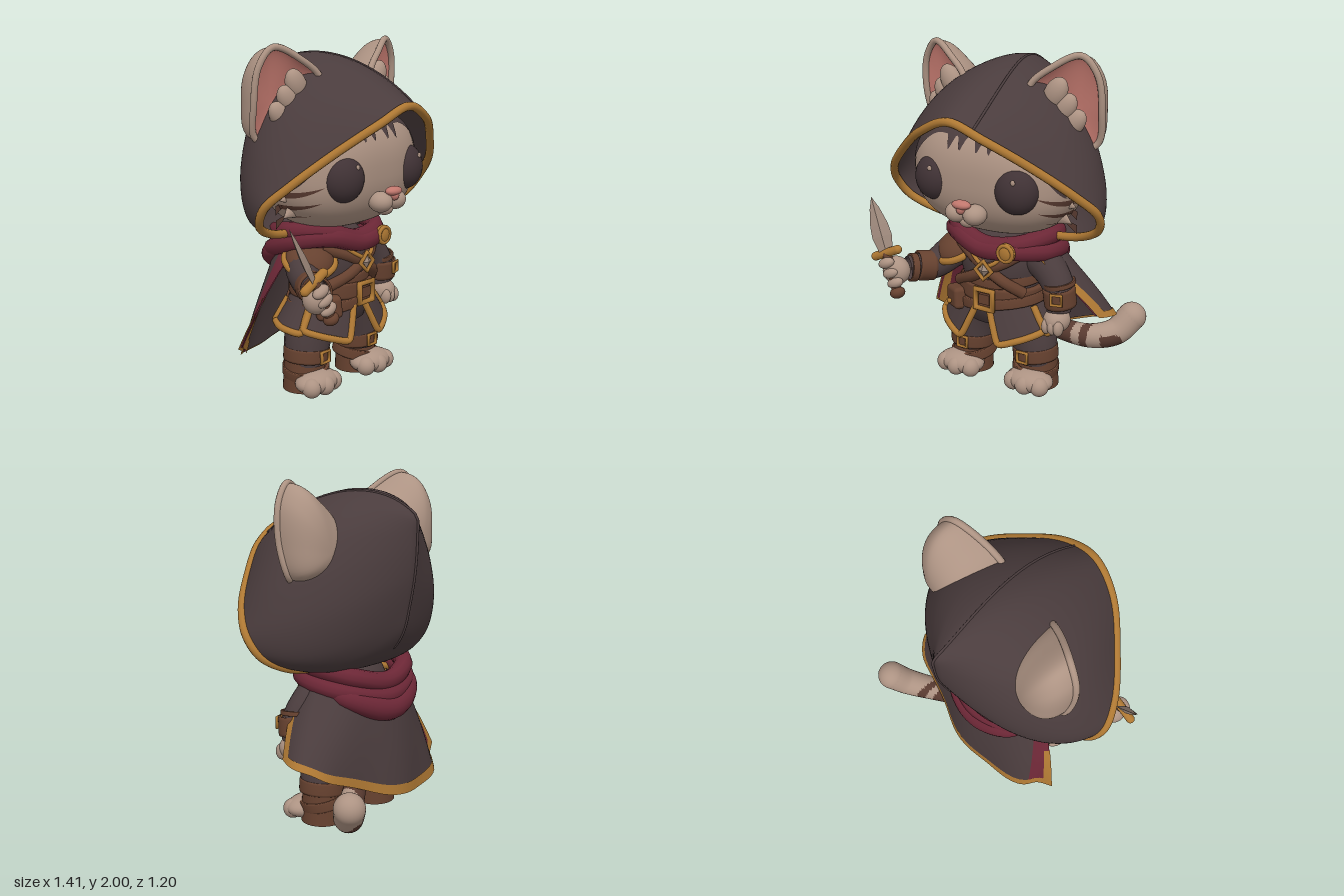
import * as THREE from 'three';
import { mergeVertices } from 'three/addons/utils/BufferGeometryUtils.js';
import { RoundedBoxGeometry } from 'three/addons/geometries/RoundedBoxGeometry.js';

const mat = (name, color) => Object.assign(new THREE.MeshStandardMaterial({ color, side: THREE.DoubleSide }), { name });
const cloth = mat('dark cloth', 0x4a3c3d), crimson = mat('crimson lining', 0x6c2736), gold = mat('gold trim', 0xae7833);
const leather = mat('brown leather', 0x66412f), fur = mat('cream fur', 0xad9383), pink = mat('pink skin', 0xc0776d);
const mark = mat('brown markings', 0x583a30), eyeMat = mat('eye', 0x403235), steel = mat('steel', 0x9c877a);

const V = p => new THREE.Vector3(...p);
const curve = (pts, closed = false) => new THREE.CatmullRomCurve3(pts.map(V), closed);

// surface from a rule f(u, v), with shared vertices so closed seams stay smooth
function grid(f, nu, nv) {
  const pos = [], idx = [];
  for (let j = 0; j <= nv; j++) for (let i = 0; i <= nu; i++) pos.push(...f(i / nu, j / nv).toArray());
  for (let j = 0; j < nv; j++) for (let i = 0; i < nu; i++) {
    const a = j * (nu + 1) + i, b = a + nu + 1;
    idx.push(a, a + 1, b, a + 1, b + 1, b);
  }
  let g = new THREE.BufferGeometry();
  g.setAttribute('position', new THREE.Float32BufferAttribute(pos, 3));
  g.setIndex(idx);
  g = mergeVertices(g, 1e-5);
  g.computeVertexNormals();
  return g;
}

// tube whose radius follows a list; ends are closed when the list ends in 0
function taper(pts, radii, seg = 40, sides = 18) {
  const c = curve(pts), g = new THREE.TubeGeometry(c, seg, 1, sides), p = g.attributes.position, v = new THREE.Vector3();
  for (let k = 0; k < p.count; k++) {
    const t = Math.floor(k / (sides + 1)) / seg, o = c.getPointAt(t);
    const s = t * (radii.length - 1), i = Math.min(Math.floor(s), radii.length - 2);
    const r = radii[i] + (radii[i + 1] - radii[i]) * (s - i);
    v.fromBufferAttribute(p, k).sub(o).multiplyScalar(r).add(o);
    p.setXYZ(k, v.x, v.y, v.z);
  }
  return g;
}

// regroup triangles by a rule on their centre
function paint(g, rule, n) {
  const p = g.attributes.position, ix = g.index.array, sets = Array.from({ length: n }, () => []), c = new THREE.Vector3(), t = new THREE.Vector3();
  for (let i = 0; i < ix.length; i += 3) {
    c.set(0, 0, 0);
    for (let k = 0; k < 3; k++) c.add(t.fromBufferAttribute(p, ix[i + k]));
    sets[rule(c.divideScalar(3))].push(ix[i], ix[i + 1], ix[i + 2]);
  }
  g.clearGroups();
  let start = 0;
  sets.forEach((s, m) => { g.addGroup(start, s.length, m); start += s.length; });
  g.setIndex(sets.flat());
  return g;
}

export function createModel() {
  const root = new THREE.Group();
  const add = (name, geo, m, p = [0, 0, 0], r = [0, 0, 0], s = [1, 1, 1], parent = root) => {
    const o = new THREE.Mesh(geo, m);
    o.name = name; o.position.set(...p); o.rotation.set(...r); o.scale.set(...s);
    parent.add(o);
  };
  const ball = (name, m, p, s, r, parent) => add(name, new THREE.SphereGeometry(1, 28, 18), m, p, r, s, parent);
  const tube = (name, m, pts, r, closed = false) => add(name, new THREE.TubeGeometry(curve(pts, closed), closed ? 120 : 48, r, 10, closed), m);
  const band = (name, m, p, r, h, rot, flat = 1) => add(name, new THREE.LatheGeometry(
    [[.85, -h], [.98, -h], [1, -h * .7], [1, h * .7], [.98, h], [.85, h]].map(q => new THREE.Vector2(...q)), 40), m, p, rot, [r, 1, r * flat]);
  const buckle = (name, m, p, w, ry = 0, turn = Math.PI / 4) =>
    add(name, new THREE.TorusGeometry(w, w * .24, 8, 4).rotateZ(turn).rotateY(ry), m, p);

  // hood: rim, bulge and back ridge half-lines, mirrored into loops and joined by quadratic arcs
  const loop = half => curve([...half, ...half.slice(1, -1).reverse().map(([x, y, z]) => [-x, y, z])].map(([x, y, z]) => [x + .01, y, z]), true);
  const rim = loop([[0, 1.67, .575], [.2, 1.59, .54], [.42, 1.44, .41], [.6, 1.28, .27], [.675, 1.16, .155], [.64, 1.05, .08], [.5, .97, .02], [.3, .94, 0], [0, .94, -.02]]);
  const bulge = loop([[0, 2.1, -.06], [.36, 2.0, -.05], [.6, 1.81, -.11], [.67, 1.55, -.21], [.64, 1.25, -.28], [.56, 1.02, -.27], [.42, .92, -.24], [.25, .88, -.22], [0, .88, -.22]]);
  const ridge = loop([1.81, 1.78, 1.7, 1.58, 1.45, 1.3, 1.18, 1.1, 1.05].map((y, i) => [0, y, [-.465, -.48, -.48, -.475, -.46, -.43, -.4, -.36, -.32][i]]));
  const hood = (u, v) => rim.getPoint(u % 1).multiplyScalar((1 - v) ** 2)
    .addScaledVector(bulge.getPoint(u % 1), 2 * v * (1 - v)).addScaledVector(ridge.getPoint(u % 1), v * v);
  add('hood', grid(hood, 96, 36), cloth);
  add('hoodTrim', new THREE.TubeGeometry(rim, 140, .024, 10, true), gold);
  const seam = [];
  for (let i = 0; i <= 10; i++) seam.push(hood(.042 * (1 - i / 10), i / 10).toArray());
  for (let i = 1; i <= 8; i++) seam.push(ridge.getPoint(i / 16).toArray());
  tube('hoodSeam', cloth, seam, .007);

  // head: a rounded block
  const E = .82, N = 2 / E, sp = a => Math.sign(a) * Math.abs(a) ** E;
  add('head', grid((u, v) => {
    const a = u * Math.PI * 2, b = (v - .5) * Math.PI, c = sp(Math.cos(b)), z = c * sp(Math.cos(a));
    return new THREE.Vector3(.01 + .51 * c * sp(Math.sin(a)), 1.3 + .345 * sp(Math.sin(b)), .06 + z * (z > 0 ? .36 : .25));
  }, 80, 50), fur);

  // thin markings that follow the face between two lines
  const facePatch = (name, m, x0, x1, low, high) => add(name, grid((u, v) => {
    const x = x0 + (x1 - x0) * u, y = low(x) + (high(x) - low(x)) * v;
    const d = 1 - Math.abs((x - .01) / .51) ** N - Math.abs((y - 1.3) / .345) ** N;
    return new THREE.Vector3(x, y, .066 + .36 * Math.max(0, d) ** (1 / N));
  }, 100, 10), m);
  facePatch('foreheadMarking', cloth, -.5, .52, x => {
    const ax = Math.abs(x - .01);
    let y = 1.54 - 3.6 * Math.max(0, ax - .2) ** 2;
    for (const s of [.055, .13]) y -= .08 * Math.max(0, 1 - Math.abs(ax - s) / .03);
    return y;
  }, x => 1.64 - .9 * (x - .01) ** 2);
  for (const s of [-1, 1]) {
    for (const [y, w] of [[1.22, .02], [1.13, .026], [1.05, .026]]) {
      const mid = x => y - (Math.abs(x - .01) - .45) * .5, half = x => w * Math.max(0, (Math.abs(x - .01) - .39) / .11);
      facePatch('cheekStripe', mark, .01 + s * .39, .01 + s * .5, x => mid(x) - half(x), x => mid(x) + half(x));
    }
    const x = .02 + s * .27;
    ball('eye', eyeMat, [x, 1.28, .34], [.124, .13, .1], [0, s * .25, 0]);
    ball('eyeHighlight', fur, [x + .025, 1.35, .424], [.014, .016, .008]);
    ball('muzzle', fur, [.02 + s * .058, 1.135, .43], [.066, .058, .07]);
    for (const [y, t] of [[1.18, 1.8], [1.09, 2]])
      add('cheekTuft', new THREE.ConeGeometry(.055, .09, 12), fur, [.01 + s * (.49 - (1.22 - y) * .25), y, .12], [0, 0, -s * t], [1, 1, .6]);
  }
  ball('chin', fur, [.02, 1.09, .41], [.05, .04, .05]);
  ball('nose', pink, [.02, 1.195, .475], [.058, .026, .038]);
  ball('noseTip', pink, [.02, 1.172, .478], [.026, .03, .03]);

  // ears: a rounded back shell, a shallow pink cup, a rim and fur tufts
  for (const s of [-1, 1]) {
    const ear = new THREE.Group();
    ear.name = s > 0 ? 'leftEar' : 'rightEar';
    ear.position.x = .02; ear.scale.x = s;
    root.add(ear);
    const part = (name, geo, m) => add(name, geo, m, undefined, undefined, undefined, ear);
    const edge = curve([[.24, 1.62, .13], [.21, 1.8, .125], [.33, 1.915, .085], [.475, 1.98, .025], [.56, 1.88, 0], [.58, 1.68, -.02], [.54, 1.49, -.05], [.38, 1.45, .04]], true);
    const cup = (mid, full) => grid((u, v) => {
      const e = edge.getPoint(u % 1), a = v * Math.PI / 2, k = Math.cos(a) ** full;
      return V(mid).lerp(e, k).setZ(e.z + (mid[2] - e.z) * Math.sin(a) ** full);
    }, 64, 18);
    part('earShell', cup([.39, 1.62, -.22], .85), fur);
    part('earInside', cup([.45, 1.69, -.03], 1), pink);
    part('earRim', new THREE.TubeGeometry(edge, 80, .019, 10, true), fur);
    for (let i = 0; i < 3; i++)
      ball('earTuft', fur, [.34 + i * .045, 1.77 - i * .08, .065 - i * .014], [.065, .1, .05], [0, 0, -.5 - i * .15], ear);
  }

  // torso, chest straps and belts
  const body = [[.001, .97], [.15, .95], [.22, .88], [.26, .8], [.25, .7], [.23, .6], [.25, .52], [.22, .4], [.001, .36]];
  add('torso', new THREE.LatheGeometry(body.map(p => new THREE.Vector2(...p)).reverse(), 40), cloth, [0, 0, .03], undefined, [1, 1, .82]);
  for (const s of [-1, 1]) {
    tube('chestStrap', leather, [[s * .22, .86, .15], [.03 + s * .1, .8, .22], [.03, .75, .24], [.03 - s * .1, .69, .23], [-s * .22, .61, .15]], .034);
    tube('collarTrim', gold, [[s * .13, .88, .2], [.03 + s * .07, .81, .255], [.03, .77, .272]], .012);
  }
  buckle('chestClasp', gold, [.03, .755, .28], .055, 0, 0);
  add('claspStone', new THREE.OctahedronGeometry(.038), steel, [.03, .755, .28], undefined, [1, 1, .5]);
  band('mainBelt', leather, [0, .59, .03], .265, .046, [0, 0, -.04], .86);
  band('slantedBelt', leather, [0, .53, .03], .285, .03, [0, 0, .14], .84);
  band('waistSash', leather, [0, .65, .03], .255, .03, [0, 0, .12], .84);
  buckle('beltBuckle', gold, [.03, .575, .275], .08);
  add('buckleCentre', new THREE.BoxGeometry(.07, .06, .02), leather, [.03, .575, .268]);
  add('beltPouch', new RoundedBoxGeometry(.15, .13, .08, 3, .025), leather, [-.21, .52, .2], [0, -.6, .1]);
  ball('pouchStud', gold, [-.235, .5, .245], [.015, .015, .012]);

  // split skirt panels with gold edges: inner angle at waist and hem, outer angle, drop of the inner corner
  for (const s of [-1, 1]) for (const [inTop, inHem, out, low] of [[.12, .36, 1.2, .08], [1.22, 1.25, 2.18, .02], [2.2, 2.23, 3.13, 0]]) {
    const f = (u, v) => {
      const inner = inTop + (inHem - inTop) * v, a = s * (inner + (out - inner) * u);
      return new THREE.Vector3(Math.sin(a) * (.255 + .115 * v), .56 - v * (.16 + low * (1 - u)), .03 + Math.cos(a) * (.205 + .07 * v));
    };
    add('skirtPanel', grid(f, 12, 8), cloth);
    const e = [];
    for (const t of [.2, .55, .97]) e.push(f(0, t));
    for (const t of [.04, .35, .65, .96]) e.push(f(t, 1));
    if (out < 2) for (const t of [.97, .6, .2]) e.push(f(1, t));
    tube('skirtTrim', gold, e.map(p => p.toArray()), .02);
  }

  // legs, wrapped boots and paws
  for (const s of [-1, 1]) {
    const x = .01 + s * .22;
    add('leg', taper([[s * .12, .5, .03], [s * .18, .38, .03], [x, .24, .03], [x, .16, .03]], [.1, .14, .135, .12], 20), cloth);
    add('boot', new THREE.CylinderGeometry(.115, .125, .25, 28), leather, [x + s * .01, .129, .02]);
    band('bootStrap', leather, [x, .215, .03], .135, .04, [0, 0, s * .08]);
    band('ankleWrap', leather, [x, .12, .025], .138, .03, [.15, 0, -s * .15]);
    buckle('bootBuckle', gold, [x - s * .01, .215, .168], .045);
    ball('foot', fur, [x + s * .02, .07, .13], [.148, .068, .105]);
    for (let i = -1; i < 2; i++)
      ball('toe', fur, [x + s * .02 + i * .088, .06, .19 - Math.abs(i) * .022], [.056, .058, .058]);
  }

  // arms, bracers and paws
  add('rightArm', taper([[-.2, .83, .04], [-.31, .75, .1], [-.37, .69, .2], [-.46, .69, .34]], [.1, .1, .085, .07], 24), cloth);
  add('leftArm', taper([[.2, .83, .03], [.33, .74, .04], [.4, .64, .06], [.41, .52, .08]], [.1, .1, .09, .07], 24), cloth);
  band('rightBracer', leather, [-.4, .69, .25], .09, .05, [1.4, 0, .6]);
  band('rightCuff', leather, [-.44, .69, .32], .084, .02, [1.4, 0, .6]);
  band('leftBracer', leather, [.41, .61, .07], .094, .055, [.1, 0, .08]);
  band('leftCuff', leather, [.4, .685, .06], .095, .013, [.1, 0, .15]);
  buckle('leftBracerBuckle', gold, [.44, .62, .165], .042, .3);
  ball('leftHand', fur, [.405, .47, .09], [.078, .072, .085]);
  for (let i = 0; i < 3; i++) ball('leftFinger', fur, [.37 + i * .038, .445, .145], [.028, .048, .038]);
  ball('rightHand', fur, [-.51, .68, .385], [.085, .085, .075]);
  for (let i = 0; i < 3; i++) ball('rightFinger', fur, [-.54 + i * .03, .735 - i * .055, .44], [.055, .032, .035], [0, 0, .4]);

  // shoulder guard with a gold edge
  add('shoulderPad', new THREE.SphereGeometry(1, 28, 12, 0, Math.PI * 2, 0, 1.5), leather, [-.26, .785, .1], [.4, 0, .25], [.14, .1, .14]);
  add('shoulderPadTrim', new THREE.TorusGeometry(.14, .022, 8, 40).rotateX(Math.PI / 2), gold, [-.26, .79, .103], [.4, 0, .25]);

  // dagger
  const dagger = new THREE.Group();
  dagger.name = 'dagger'; dagger.position.set(-.56, .785, .41); dagger.rotation.set(-.15, 0, .42);
  root.add(dagger);
  const blade = new THREE.LatheGeometry([[0, .34], [.028, .27], [.052, .17], [.058, .1], [.038, 0]].map(p => new THREE.Vector2(...p)).reverse(), 4).toNonIndexed();
  blade.computeVertexNormals();
  add('blade', blade, steel, undefined, [0, .6, 0], [1, 1, .35], dagger);
  add('guard', new THREE.CapsuleGeometry(.026, .17, 6, 14), gold, undefined, [0, 0, Math.PI / 2], undefined, dagger);
  add('grip', new THREE.CylinderGeometry(.027, .03, .24, 16), leather, [0, -.12, 0], undefined, undefined, dagger);
  ball('pommel', leather, [0, -.24, 0], [.045, .035, .045], undefined, dagger);

  // cape: collar line to hem with folds, built as strips [name, colour, u range, v range, offset]
  const collar = curve([[.24, .9, .16], [.32, .88, -.02], [.21, .86, -.2], [0, .85, -.25], [-.2, .86, -.2], [-.31, .87, -.06], [-.3, .86, .02]]);
  const hem = curve([[.6, .49, -.03], [.62, .45, -.24], [.42, .36, -.3], [.1, .23, -.37], [-.22, .19, -.35], [-.47, .22, -.23], [-.58, .31, -.12]]);
  const cape = (u, v, k) => {
    const p = collar.getPoint(u).lerp(hem.getPoint(u), v), w = k * (1 + .05 * Math.sin(v * Math.PI) + .03 * v * Math.sin(u * 26));
    return p.set(p.x * w, p.y, p.z * w);
  };
  for (const [name, m, a, b, c, d, k] of [
    ['capeOuter', cloth, 0, .85, 0, 1, 1], ['capeFold', crimson, .85, 1, 0, 1, 1],
    ['capeLining', crimson, 0, .28, 0, 1, .98], ['capeInner', cloth, .28, .78, 0, 1, .98], ['capeLining', crimson, .78, 1, 0, 1, .98],
    ['hemTrim', gold, 0, 1, .93, 1.02, 1.012], ['leftEdgeTrim', gold, 0, .045, .15, 1, 1.012],
    ['rightEdgeTrim', gold, .95, 1, .5, 1.02, 1.014], ['rightLiningTrim', gold, .95, 1, .5, 1.02, .966], ['cornerTrim', gold, .86, 1, .92, 1.02, .966]])
    add(name, grid((u, v) => cape(a + (b - a) * u, c + (d - c) * v, k), 40, 20), m);

  // scarf folds and brooch
  tube('scarf', crimson, [[0, .89, .22], [.2, .91, .19], [.31, .94, 0], [.22, .9, -.2], [0, .85, -.26], [-.22, .9, -.2], [-.31, .95, 0], [-.2, .95, .17]], .055, true);
  tube('scarfMiddle', crimson, [[.18, .88, .22], [.32, .86, .06], [.27, .82, -.17], [0, .77, -.28], [-.27, .82, -.17], [-.31, .9, .05], [-.18, .92, .2], [0, .87, .24]], .055, true);
  add('scarfBack', taper([[.32, .87, .02], [.25, .78, -.2], [0, .7, -.29], [-.25, .78, -.2], [-.32, .87, .02]], [0, .06, .075, .075, .06, 0]), crimson);
  ball('brooch', gold, [.18, .885, .27], [.055, .058, .03]);
  add('broochRing', new THREE.TorusGeometry(.046, .012, 8, 28), gold, [.18, .885, .285]);

  // tail with brown bands and a round tip
  const tail = taper([[.05, .38, -.1], [.22, .27, -.22], [.4, .205, -.34], [.52, .225, -.44], [.59, .315, -.51]], [.06, .062, .07, .08, .088], 80, 24);
  add('tail', paint(tail, ({ x, y }) => x < .33 || (x > .37 && x < .41) || (x > .48 && x < .58 && y < .23) ? 1 : 0, 2), [fur, mark]);
  ball('tailTip', fur, [.59, .315, -.51], [.088, .088, .088]);
  return root;
}
